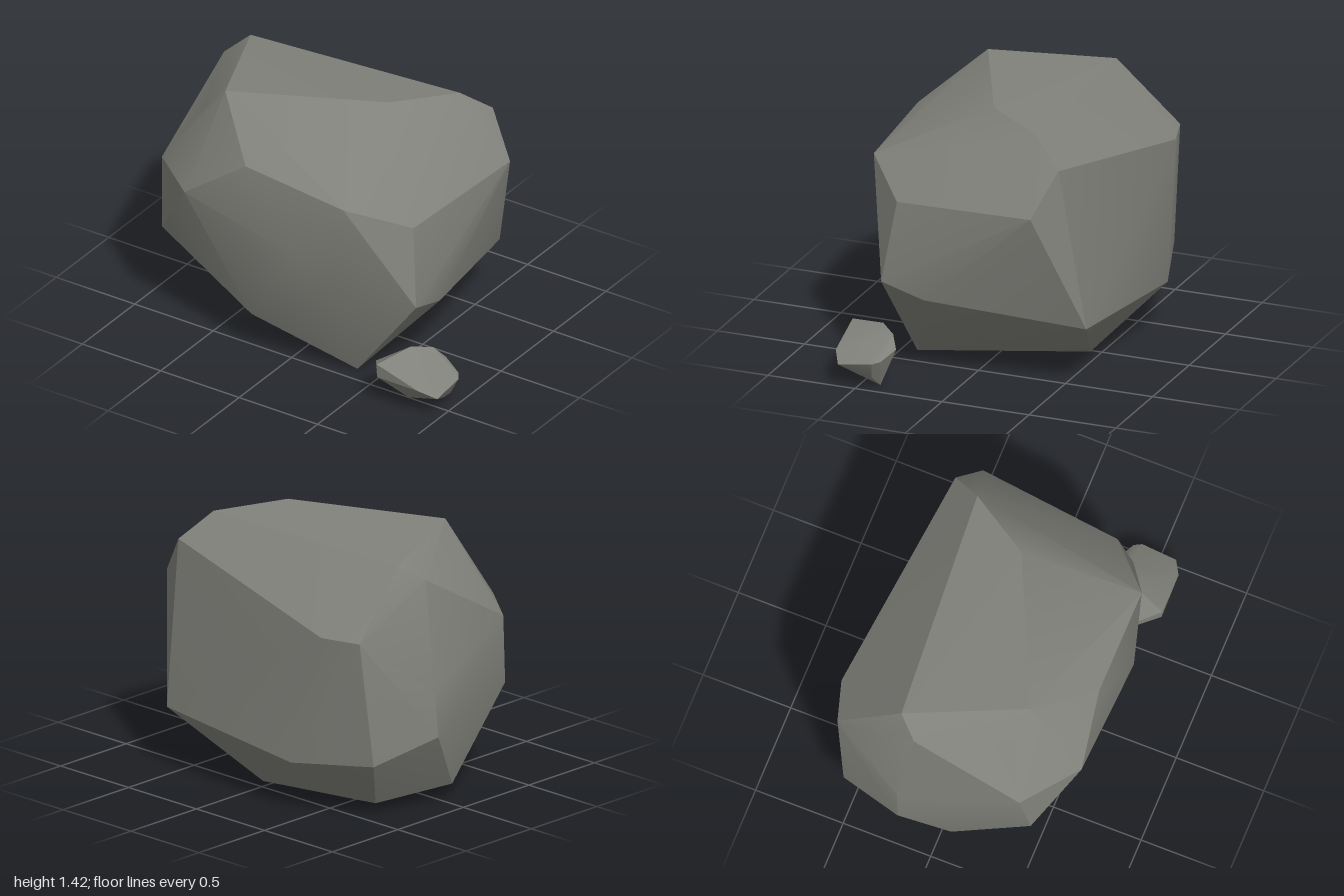
import * as THREE from 'three';
import { ConvexGeometry } from 'three/addons/geometries/ConvexGeometry.js';
import { toCreasedNormals } from 'three/addons/utils/BufferGeometryUtils.js';

// Corner points of the large rock, from the ground up
const boulderCorners = [
  // underside
  [0.36, 0.005, 0.41], [0.04, 0.01, -0.45], [-0.73, 0.055, -0.39], [-0.86, 0.085, 0.06],
  // lower sides
  [-0.21, 0.235, 0.57], [-0.41, 0.285, -0.705], [-0.87, 0.33, -0.55], [0.56, 0.35, -0.645],
  [-1, 0.44, -0.19], [0.75, 0.455, 0.21], [0.76, 0.53, 0.45], [-0.825, 0.535, 0.5], [0.34, 0.555, 0.63],
  // upper sides
  [-0.98, 0.69, -0.2], [0.145, 0.77, 0.7], [-0.56, 0.925, 0.685], [-0.86, 0.93, 0.45],
  [0.7, 0.97, 0.385], [0.78, 1.015, -0.415], [-0.6, 1.02, -0.67], [-0.82, 1.02, -0.605],
  // shoulders and top
  [0.42, 1.11, 0.635], [-0.2, 1.18, 0.64], [-0.67, 1.235, 0.335], [0.61, 1.245, -0.505],
  [-0.865, 1.28, -0.15], [-0.77, 1.36, -0.26], [0.51, 1.385, -0.34], [-0.51, 1.41, 0.37], [0.29, 1.42, 0],
];

// Corner points of the small loose stone
const pebbleCorners = [
  [0.9, 0, 0.395], [0.76, 0.015, 0.52], [0.96, 0.06, 0.42], [0.995, 0.12, 0.6],
  [0.905, 0.165, 0.65], [0.65, 0.17, 0.655], [0.65, 0.25, 0.66], [0.567, 0.13, 0.54],
  [0.567, 0.19, 0.545], [0.73, 0.285, 0.45], [0.81, 0.262, 0.36], [0.865, 0.2, 0.32],
  [0.975, 0.16, 0.365], [1, 0.15, 0.405],
];

// A faceted stone: hull of its corners, softened only across shallow edges
function makeStone(name, corners, material) {
  const hull = new ConvexGeometry(corners.map((p) => new THREE.Vector3(...p)));
  const mesh = new THREE.Mesh(toCreasedNormals(hull, 0.45), material);
  mesh.name = name;
  return mesh;
}

export function createModel() {
  const stone = new THREE.MeshStandardMaterial({ color: 0x80817a });
  stone.name = 'grey stone';

  const group = new THREE.Group();
  group.name = 'rocks';
  group.add(makeStone('boulder', boulderCorners, stone));
  group.add(makeStone('pebble', pebbleCorners, stone));
  return group;
}
